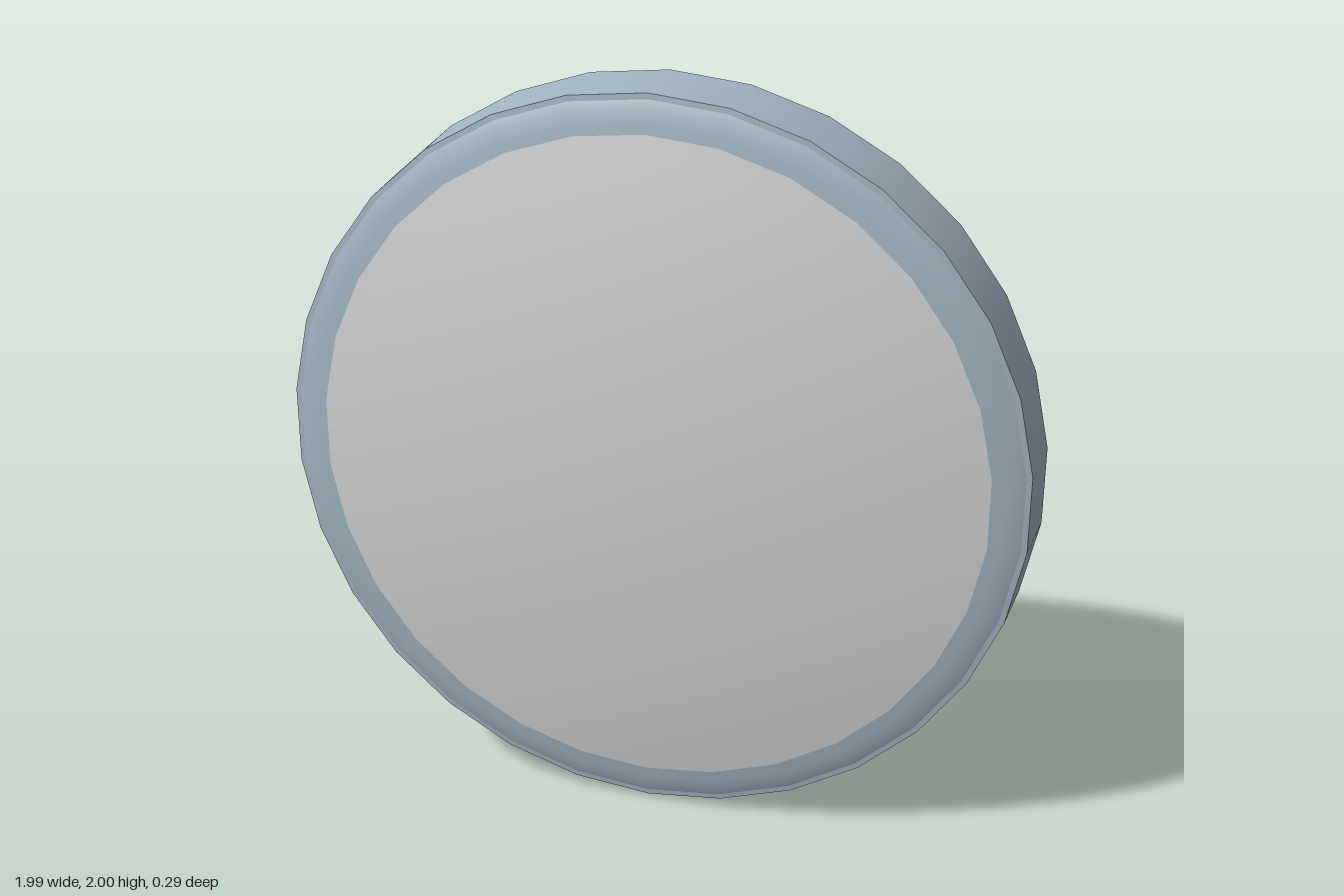
import * as THREE from 'three';

const SIDES = 30;
const BACK = -0.146;
const PLATE = -0.01;

const mat = (name, color) => {
  const m = new THREE.MeshStandardMaterial({ color });
  m.name = name;
  return m;
};

export function createModel() {
  const group = new THREE.Group();
  const blue = mat('blueGrey', 0xa0b4c2);
  const inner = mat('slateBlue', 0x5e6a8c);
  const white = mat('lightGrey', 0xd2d2d2);
  const black = mat('black', 0x1d1d1d);

  const add = (name, geometry, material) => {
    const mesh = new THREE.Mesh(geometry, material);
    mesh.name = name;
    group.add(mesh);
    return mesh;
  };
  // Surface of revolution about z, from [radius, z] pairs
  const spin = (name, points, material) => {
    const g = new THREE.LatheGeometry(points.map(([r, z]) => new THREE.Vector2(r, z)), SIDES);
    return add(name, g.rotateX(Math.PI / 2), material);
  };
  const domeZ = (r) => 0.146 - 0.098 * r * r;

  // Tapered rim, one lathe per crisp face
  spin('rimWall', [[1, BACK], [0.99, 0.045]], blue);
  spin('rimBackEdge', [[0.955, BACK], [1, BACK]], blue);
  spin('rimInnerWall', [[0.945, PLATE], [0.955, BACK]], inner);
  spin('rimLip', [[0.99, 0.045], [0.975, 0.047]], blue);
  spin('frontBezel', [0.975, 0.95, 0.92, 0.893].map((r) => [r, r === 0.975 ? 0.047 : domeZ(r)]), blue);

  // Shallow domed diffuser
  const dome = [];
  for (let i = 0; i <= 12; i++) {
    const r = 0.893 * (1 - i / 12);
    dome.push([r, domeZ(r)]);
  }
  spin('diffuser', dome, white);

  // Recessed back plate
  spin('backPlate', [[0, PLATE], [0.946, PLATE]], black);

  // Mounting hub with a pointed slot and a round hole
  const hub = new THREE.Shape();
  hub.absarc(0, 0, 0.45, 0, Math.PI * 2);
  const slot = new THREE.Path();
  slot.moveTo(-0.017, 0.33);
  slot.lineTo(0.017, 0.33);
  slot.lineTo(0.017, 0.38);
  slot.lineTo(0, 0.41);
  slot.lineTo(-0.017, 0.38);
  slot.closePath();
  const hole = new THREE.Path();
  hole.absarc(-0.055, -0.29, 0.042, 0, Math.PI * 2, true);
  hub.holes.push(slot, hole);
  const depth = PLATE - BACK - 0.001;
  const hubMesh = add('mountingHub',
    new THREE.ExtrudeGeometry(hub, { depth, bevelEnabled: false, curveSegments: 24 }), black);
  hubMesh.position.z = BACK + 0.001;

  // Shallow floors inside the hub openings
  const floor = add('hubRecessFloor', new THREE.CircleGeometry(0.43, 24), black);
  floor.rotation.y = Math.PI;
  floor.position.z = BACK + 0.03;

  group.children.forEach((c) => { c.position.y = 1; });
  return group;
}
